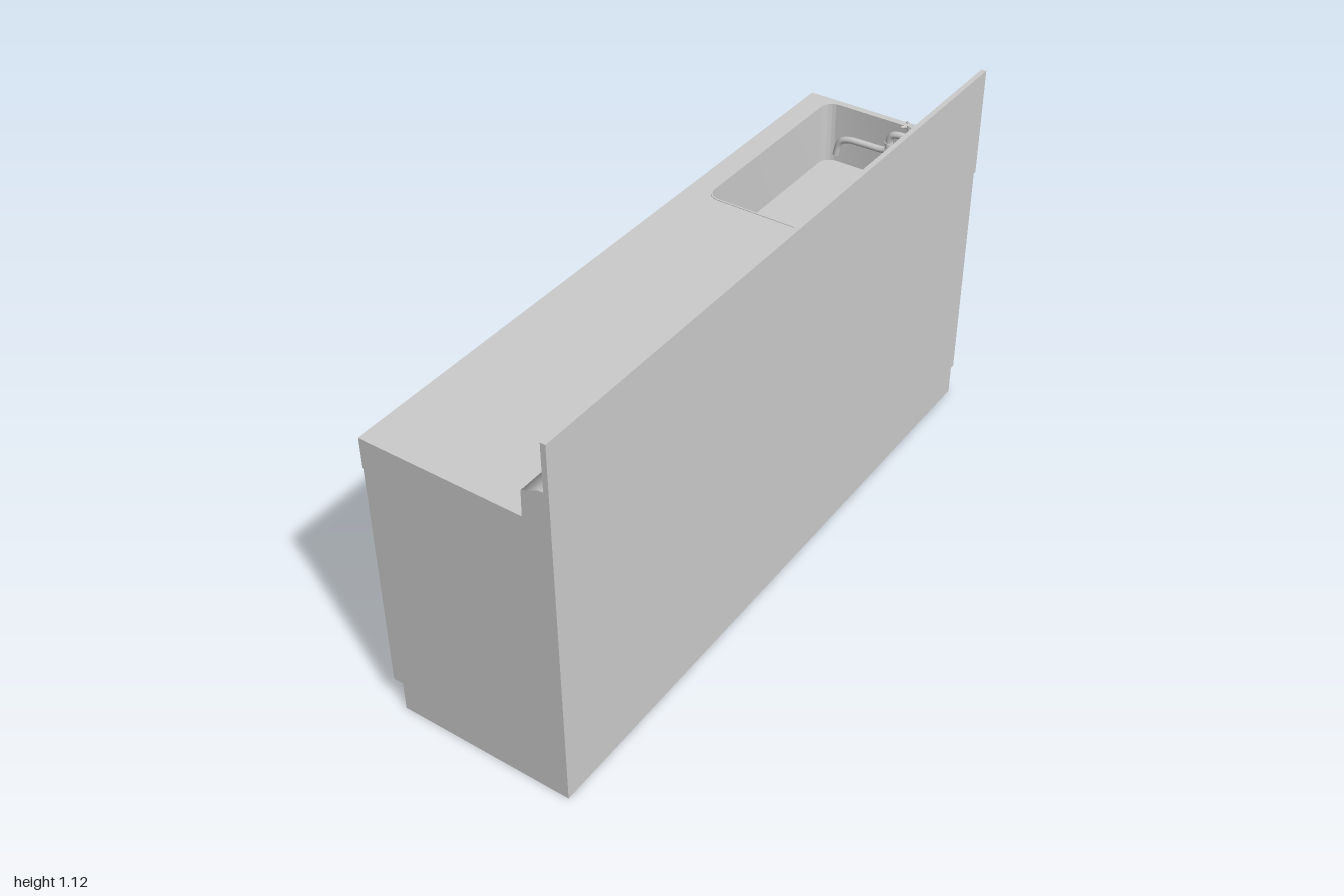
import * as THREE from 'three';
import { toCreasedNormals } from 'three/addons/utils/BufferGeometryUtils.js';

const steel = new THREE.MeshStandardMaterial({ color: 0xcccccc });
steel.name = 'light grey';

// Rounded rectangle in plan; shape y is world -z
function roundedRect(path, x0, x1, z0, z1, r) {
  const y0 = -z1, y1 = -z0;
  path.moveTo(x0 + r, y0);
  path.lineTo(x1 - r, y0);
  path.absarc(x1 - r, y0 + r, r, -Math.PI / 2, 0);
  path.lineTo(x1, y1 - r);
  path.absarc(x1 - r, y1 - r, r, 0, Math.PI / 2);
  path.lineTo(x0 + r, y1);
  path.absarc(x0 + r, y1 - r, r, Math.PI / 2, Math.PI);
  path.lineTo(x0, y0 + r);
  path.absarc(x0 + r, y0 + r, r, Math.PI, Math.PI * 1.5);
  return path;
}

const planShape = (points) =>
  new THREE.Shape(points.map(([x, z]) => new THREE.Vector2(x, -z)));

// Extrude a plan shape upward from y0 to y1
function prism(shape, y0, y1) {
  const g = new THREE.ExtrudeGeometry(shape, { depth: y1 - y0, bevelEnabled: false, curveSegments: 8 });
  g.rotateX(-Math.PI / 2).translate(0, y0, 0);
  return toCreasedNormals(g, 0.6);
}

function box(x0, x1, y0, y1, z0, z1) {
  return new THREE.BoxGeometry(x1 - x0, y1 - y0, z1 - z0)
    .translate((x0 + x1) / 2, (y0 + y1) / 2, (z0 + z1) / 2);
}

function tube(points, radius, segments = 32) {
  const curve = new THREE.CatmullRomCurve3(points.map((p) => new THREE.Vector3(...p)), false, 'centripetal');
  return new THREE.TubeGeometry(curve, segments, radius, 12, false);
}

export function createModel() {
  const model = new THREE.Group();
  model.name = 'kitchenSinkUnit';
  const add = (name, geometry, parent = model) => {
    const mesh = new THREE.Mesh(geometry, steel);
    mesh.name = name;
    parent.add(mesh);
    return mesh;
  };

  const sinkHole = () => roundedRect(new THREE.Path(), -0.195, 0.195, -0.98, -0.322, 0.045);

  // Plinth, set back under the doors
  add('plinth', box(-0.225, 0.3, 0, 0.09, -0.975, 1));

  // Cabinet with a door groove and a well for the basin
  const body = planShape([
    [-0.255, -0.99], [0.3, -0.99], [0.3, 1], [-0.255, 1],
    [-0.255, 0.507], [-0.24, 0.507], [-0.24, 0.493], [-0.255, 0.493],
  ]);
  body.holes.push(sinkHole());
  add('cabinet', prism(body, 0.09, 0.79));

  // Worktop
  const top = planShape([[-0.26, -1], [0.3, -1], [0.3, 1], [-0.26, 1]]);
  top.holes.push(sinkHole());
  add('worktop', prism(top, 0.79, 0.88));

  // Basin: a walled ring with a low rim, and its floor
  const wall = roundedRect(new THREE.Shape(), -0.195, 0.195, -0.98, -0.322, 0.045);
  wall.holes.push(roundedRect(new THREE.Path(), -0.19, 0.19, -0.975, -0.327, 0.04));
  add('basinWall', prism(wall, 0.68, 0.882));
  add('basinFloor', prism(roundedRect(new THREE.Shape(), -0.195, 0.195, -0.98, -0.322, 0.045), 0.68, 0.69));

  // Raised ledge along the wall, softly shaded across its slope
  const ledge = new THREE.Shape([
    [0.22, 0.88], [0.285, 0.88], [0.285, 0.98], [0.268, 0.978], [0.222, 0.956],
  ].map(([x, y]) => new THREE.Vector2(x, y)));
  const ledgeGeometry = new THREE.ExtrudeGeometry(ledge, { depth: 2, bevelEnabled: false });
  add('ledge', toCreasedNormals(ledgeGeometry.translate(0, 0, -1), 1.2));
  add('backsplash', box(0.285, 0.3, 0.88, 1.117, -1, 1));

  // Door handles
  for (const z of [-0.595, -0.39, 0.4, 0.6]) {
    add('doorHandle', tube([
      [-0.25, 0.71, z - 0.046], [-0.27, 0.71, z - 0.046], [-0.286, 0.71, z - 0.036],
      [-0.291, 0.71, z], [-0.286, 0.71, z + 0.036], [-0.27, 0.71, z + 0.046], [-0.25, 0.71, z + 0.046],
    ], 0.0105));
  }

  // Wall tap
  const tap = new THREE.Group();
  tap.name = 'tap';
  tap.position.z = -0.68;
  model.add(tap);

  // Flared wall flange
  const flare = [[0, 0], [0.034, 0], [0.033, 0.003], [0.022, 0.012], [0.014, 0.024], [0.01, 0.04]]
    .map(([r, h]) => new THREE.Vector2(r, h));
  const flange = add('flange', new THREE.LatheGeometry(flare, 20), tap);
  flange.rotation.z = Math.PI / 2;
  flange.position.set(0.286, 1.03, 0);

  add('inletPipe', tube([
    [0.28, 1.03, 0], [0.24, 1.03, 0], [0.205, 1.03, 0], [0.186, 1.024, 0], [0.178, 1.01, 0], [0.176, 0.99, 0],
  ], 0.01), tap);
  add('collar', new THREE.CylinderGeometry(0.012, 0.012, 0.008, 16).translate(0.176, 0.995, 0), tap);
  add('spout', tube([
    [0.176, 0.992, 0], [0.173, 0.977, 0], [0.158, 0.971, 0], [0.1, 0.969, 0], [0.05, 0.966, 0],
    [0.028, 0.957, 0], [0.018, 0.94, 0], [0.011, 0.908, 0],
  ], 0.0095, 40), tap);
  add('spoutEnd', new THREE.CylinderGeometry(0.0095, 0.0095, 0.003, 12).rotateZ(-0.2).translate(0.0112, 0.909, 0), tap);

  // Valve stem and cross handle
  add('valveStem', new THREE.CylinderGeometry(0.006, 0.009, 0.035, 12).translate(0.237, 1.05, 0), tap);
  add('valveHub', new THREE.CylinderGeometry(0.01, 0.01, 0.009, 12).translate(0.237, 1.068, 0), tap);
  for (let i = 0; i < 2; i++) {
    const arm = add('valveArm', new THREE.CapsuleGeometry(0.004, 0.046, 4, 8).rotateZ(Math.PI / 2), tap);
    arm.position.set(0.237, 1.068, 0);
    arm.rotation.y = Math.PI / 4 + i * Math.PI / 2;
  }

  return model;
}
